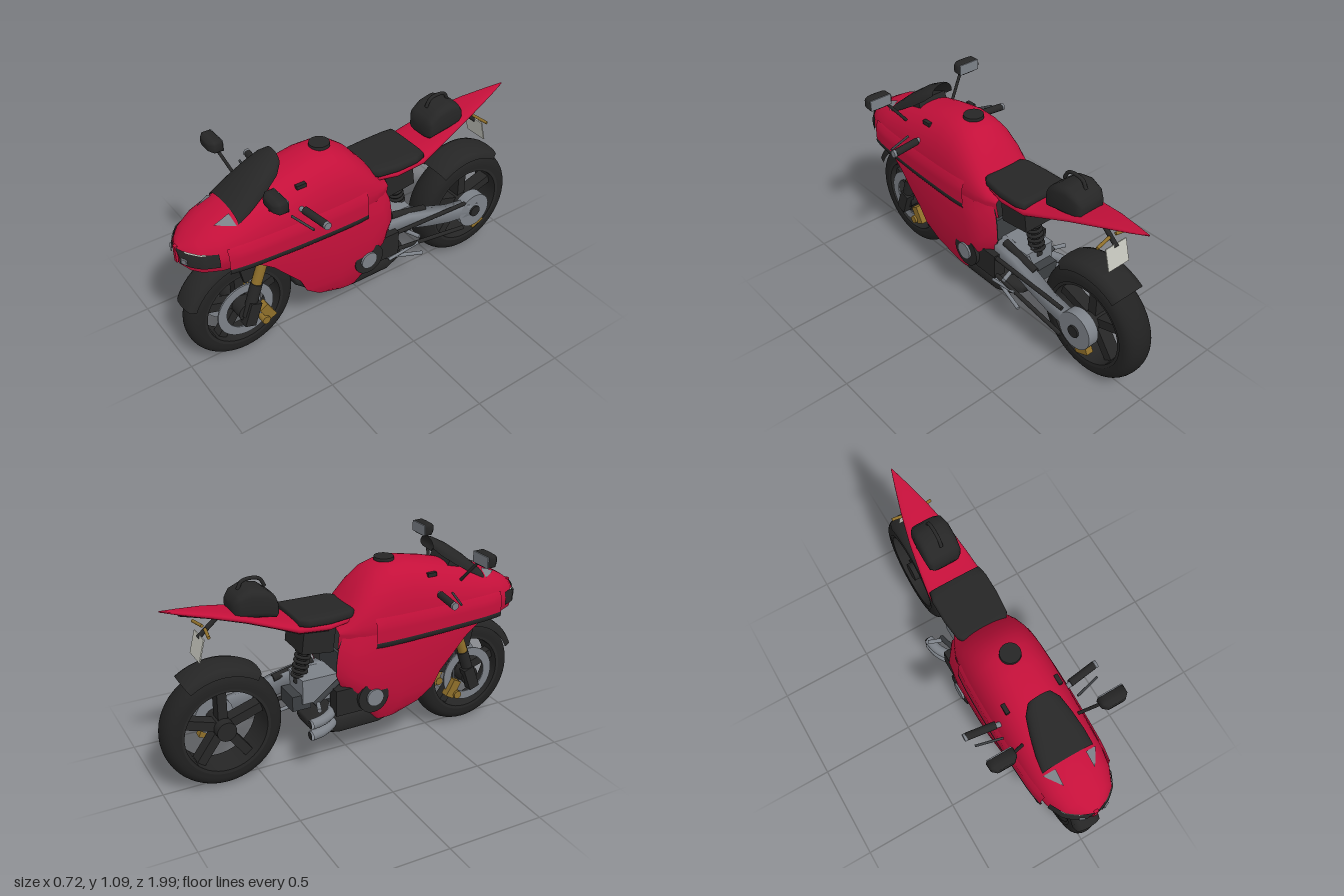
import * as THREE from 'three';

const mat = (name, color, side = THREE.DoubleSide) => new THREE.MeshStandardMaterial({ name, color, side });
const V = (x, y, z) => new THREE.Vector3(x, y, z);

export function createModel() {
  const root = new THREE.Group();
  root.name = 'sportMotorcycle';
  const red = mat('red paint', 0xc4103a), black = mat('black plastic', 0x262626), rubber = mat('tyre rubber', 0x212121);
  const grey = mat('grey metal', 0x7c8188), gold = mat('gold metal', 0x8f6f2a), pale = mat('pale plate', 0xc6c7be);
  const dark = mat('dark metal', 0x3c3f42);

  const add = (name, geo, m, x = 0, y = 0, z = 0, rx = 0, ry = 0, rz = 0) => {
    const o = new THREE.Mesh(geo, m);
    o.name = name; o.position.set(x, y, z); o.rotation.set(rx, ry, rz);
    root.add(o);
    return o;
  };
  const box = (name, m, w, h, d, x, y, z, rx = 0, ry = 0, rz = 0) => add(name, new THREE.BoxGeometry(w, h, d), m, x, y, z, rx, ry, rz);
  const disc = (name, m, r, w, x, y, z, n = 28) => add(name, new THREE.CylinderGeometry(r, r, w, n), m, x, y, z, 0, 0, Math.PI / 2);
  const rod = (name, m, a, b, r, r2 = r) => {
    const o = add(name, new THREE.CylinderGeometry(r2, r, a.distanceTo(b), 14), m);
    o.position.copy(a).lerp(b, 0.5);
    o.quaternion.setFromUnitVectors(V(0, 1, 0), b.clone().sub(a).normalize());
    return o;
  };
  const tube = (name, m, pts, r) => add(name, new THREE.TubeGeometry(new THREE.CatmullRomCurve3(pts), 24, r, 10), m);

  // Skin through a list of equal-length rows of points
  const loft = (name, rows, m, closed = false) => {
    const n = rows[0].length, pos = [], idx = [];
    rows.forEach(r => r.forEach(p => pos.push(p.x, p.y, p.z)));
    for (let i = 0; i < rows.length - 1; i++) for (let j = 0; j < (closed ? n : n - 1); j++) {
      const a = i * n + j, b = i * n + (j + 1) % n;
      idx.push(a, b, a + n, b, b + n, a + n);
    }
    const g = new THREE.BufferGeometry();
    g.setAttribute('position', new THREE.Float32BufferAttribute(pos, 3));
    g.setIndex(idx);
    g.computeVertexNormals();
    return add(name, g, m);
  };
  // Closed rounded hull from [z, halfWidth, bottom, top] stations
  const hull = (name, m, st, e = 0.6) => {
    const pw = v => Math.sign(v) * Math.abs(v) ** e;
    const ring = (z, w, b, t, k) => Array.from({ length: 24 }, (_, i) => {
      const a = i / 24 * Math.PI * 2;
      return V(w * k * pw(Math.cos(a)), (b + t) / 2 + (t - b) / 2 * k * pw(Math.sin(a)), z);
    });
    const rows = st.map(s => ring(...s, 1));
    loft(name, [ring(...st[0], 0.001), ...rows, ring(...st[st.length - 1], 0.001)], m, true);
  };
  const ramp = (tab, v, c) => {
    let i = 0;
    while (i < tab.length - 2 && (tab[i + 1][0] - v) * (tab[1][0] - tab[0][0]) < 0) i++;
    const f = THREE.MathUtils.clamp((v - tab[i][0]) / (tab[i + 1][0] - tab[i][0]), 0, 1);
    return tab[i][c] + (tab[i + 1][c] - tab[i][c]) * f;
  };

  // Nose and tank shell: [z, halfWidth, bottom, top]
  const S = [[0.99, 0.025, 0.69, 0.765], [0.96, 0.09, 0.672, 0.79], [0.92, 0.135, 0.665, 0.82], [0.84, 0.172, 0.66, 0.868],
    [0.74, 0.188, 0.655, 0.905], [0.6, 0.194, 0.65, 0.945], [0.45, 0.198, 0.64, 0.985], [0.3, 0.198, 0.63, 1.015],
    [0.2, 0.197, 0.62, 1.012], [0.13, 0.194, 0.62, 0.99], [0.06, 0.187, 0.62, 0.935], [0, 0.175, 0.62, 0.865],
    [-0.05, 0.155, 0.62, 0.79], [-0.1, 0.125, 0.62, 0.74]];
  const MID = 0.71, E = 2.4;
  const arc = q => Math.max(0, 1 - Math.min(1, q) ** E) ** (1 / E);
  const shellX = (y, z) => ramp(S, z, 1) * (y < MID ? 1 : arc((y - MID) / (ramp(S, z, 3) - MID)));
  const shellY = (x, z) => MID + (ramp(S, z, 3) - MID) * arc(Math.abs(x) / ramp(S, z, 1));
  loft('upperFairingAndTank', S.map(([z, w, b, t]) => {
    const r = [V(w * 0.88, b, z)];
    for (let i = 0; i <= 24; i++) {
      const a = i / 24 * Math.PI, c = Math.cos(a);
      r.push(V(w * Math.sign(c) * Math.abs(c) ** (2 / E), MID + (t - MID) * Math.sin(a) ** (2 / E), z));
    }
    r.push(V(-w * 0.88, b, z));
    return r;
  }), red);
  loft('fairingFloor', S.map(([z, w, b]) => [V(w * 0.88, b + 0.004, z), V(-w * 0.88, b + 0.004, z)]), black);

  // Lower side fairings: [y, frontZ, rearZ, halfWidth]
  const P = [[0.7, 0.78, -0.08, 0.192], [0.64, 0.68, -0.105, 0.199], [0.58, 0.6, -0.115, 0.202], [0.5, 0.53, -0.12, 0.202],
    [0.42, 0.46, -0.09, 0.198], [0.33, 0.42, 0, 0.187], [0.26, 0.34, 0.04, 0.172], [0.205, 0.22, 0.09, 0.15]];
  const bulge = [[0, 0.93], [0.2, 0.98], [0.45, 1], [0.75, 1], [0.9, 0.93], [1, 0.68]];
  const alongZ = (a, b, n) => Array.from({ length: n + 1 }, (_, i) => a + (b - a) * i / n);
  for (const s of [1, -1]) {
    const side = k => P.map(([y, f, r, w]) => bulge.map(([u, q]) => V(s * w * q * k, y, f + (r - f) * u)));
    loft('lowerFairing', side(1), red);
    loft('lowerFairingLining', side(0.95), black);
    // Raised upper side panel with its dark lip
    const zs = alongZ(0.82, 0.07, 14), low = z => 0.645 + 0.02 * (z - 0.07) / 0.75;
    loft('sidePanel', zs.map(z => [0, 0.25, 0.5, 0.75, 1].map(f => {
      const y = low(z) + (0.785 - low(z)) * f;
      return V(s * (Math.max(shellX(y, z), 0.17) + (f < 1 ? 0.012 : 0.001)), y, z);
    })), red);
    loft('sidePanelLip', zs.map(z => [[0.012, 0.012], [0.015, 0.004], [0.009, -0.015], [0, -0.018]]
      .map(([o, dy]) => V(s * (shellX(0.7, z) + o), low(z) + dy, z))), black);
    // Headlight, brow and marker on the nose
    const lamp = (name, m, y0, y1, z0, z1, o) => loft(name, alongZ(z0, z1, 12).map(z => [0, 0.5, 1].map(f => {
      const y = y0 + (y1 - y0) * f;
      return V(s * (shellX(y, z) + o * 0.6), y, z + o);
    })), m);
    lamp('headlight', black, 0.7, 0.77, 0.985, 0.85, 0.006);
    lamp('headlightBrow', pale, 0.768, 0.774, 0.965, 0.9, 0.008);
    box('headlightLens', grey, 0.028, 0.026, 0.008, s * 0.065, 0.722, 0.982, 0, s * 0.42);
    const mk = [[0.14, 0.745], [0.08, 0.75], [0.082, 0.83]].map(([x, z]) => V(s * x, shellY(x, z) + 0.008, z));
    loft('noseMarker', [[mk[0], mk[1]], [mk[2], mk[2]]], grey);
    // Mirrors
    hull('mirrorHousing', black, [[0.6, 0.068, -0.034, 0.034], [0.64, 0.066, -0.034, 0.036], [0.66, 0.045, -0.022, 0.024]], 0.5);
    root.children[root.children.length - 1].position.set(s * 0.283, 1.03, 0);
    box('mirrorGlass', grey, 0.12, 0.056, 0.006, s * 0.283, 1.03, 0.597);
    rod('mirrorStalk', black, V(s * 0.15, 0.885, 0.58), V(s * 0.245, 1.01, 0.62), 0.008);
    // Handlebars
    rod('handlebar', grey, V(s * 0.16, 0.845, 0.44), V(s * 0.24, 0.847, 0.425), 0.013);
    rod('handGrip', black, V(s * 0.2, 0.847, 0.43), V(s * 0.345, 0.847, 0.41), 0.019);
    rod('barEnd', grey, V(s * 0.345, 0.847, 0.41), V(s * 0.358, 0.847, 0.41), 0.019);
    rod('lever', dark, V(s * 0.2, 0.845, 0.5), V(s * 0.33, 0.835, 0.465), 0.006);
    box('fairingClip', black, 0.02, 0.02, 0.05, s * 0.14, 0.94, 0.41);
    // Front fork, discs and calipers
    rod('forkTube', gold, V(s * 0.1, 0.42, 0.665), V(s * 0.1, 0.7, 0.56), 0.026);
    rod('forkLower', black, V(s * 0.1, 0.27, 0.715), V(s * 0.1, 0.45, 0.652), 0.03);
    box('forkFoot', black, 0.05, 0.13, 0.06, s * 0.11, 0.29, 0.7, -0.35);
    rod('brakeLine', grey, V(s * 0.067, 0.22, 0.63), V(s * 0.067, 0.48, 0.62), 0.005);
    const ring = new THREE.Shape().absarc(0, 0, 0.152, 0, Math.PI * 2);
    ring.holes.push(new THREE.Path().absarc(0, 0, 0.105, 0, Math.PI * 2));
    add('brakeDisc', new THREE.ExtrudeGeometry(ring, { depth: 0.008, bevelEnabled: false, curveSegments: 32 }), grey, s * 0.074 - 0.004, 0.292, 0.71, 0, Math.PI / 2);
    box('brakeCaliper', gold, 0.045, 0.1, 0.05, s * 0.085, 0.235, 0.605, 0.5);
    disc('caliperPiston', gold, 0.022, 0.06, s * 0.09, 0.2, 0.625, 14);
    // Engine covers and foot rests
    disc('engineCover', black, 0.085, 0.08, s * 0.155, 0.365, 0.06);
    disc('engineCap', grey, 0.046, 0.012, s * 0.2, 0.365, 0.065);
    box('engineCase', black, 0.07, 0.14, 0.2, s * 0.14, 0.365, -0.04);
    rod('footRest', grey, V(s * 0.13, 0.375, -0.22), V(s * 0.21, 0.375, -0.25), 0.011);
    rod('footRestBracket', dark, V(s * 0.12, 0.46, -0.1), V(s * 0.135, 0.37, -0.24), 0.013);
    rod('turnSignal', gold, V(s * 0.02, 0.835, -0.735), V(s * 0.11, 0.83, -0.75), 0.008);
  }
  box('nosePillar', red, 0.022, 0.09, 0.014, 0, 0.73, 0.988);

  // Windscreen, fuel cap and dash
  loft('windscreen', [[0.735, 0.135, 0.86, 0.91], [0.66, 0.128, 0.9, 0.975], [0.57, 0.11, 0.955, 1.04], [0.5, 0.09, 1.005, 1.078], [0.465, 0.06, 1.04, 1.088]]
    .map(([z, w, lo, hi]) => alongZ(0, Math.PI, 14).map(a => V(w * Math.cos(a), lo + (hi - lo) * Math.sin(a) ** 0.85, z))), black);
  box('dash', black, 0.17, 0.06, 0.12, 0, 0.93, 0.6, 0.4);
  add('fuelCap', new THREE.CylinderGeometry(0.05, 0.052, 0.016, 28), black, 0, 1.018, 0.215);

  // Wheels and fenders
  const wheel = (name, R, ri, w, z, hubW) => {
    const pts = alongZ(0, Math.PI, 18).map(a => new THREE.Vector2(ri + 0.015 + (R - ri - 0.015) * Math.sin(a) ** 0.7, -w * Math.cos(a)));
    add(name + 'Tyre', new THREE.LatheGeometry(pts, 56), rubber, 0, R, z, 0, 0, Math.PI / 2);
    add(name + 'Rim', new THREE.CylinderGeometry(ri, ri, w * 1.9, 48, 1, true), black, 0, R, z, 0, 0, Math.PI / 2);
    for (const q of [1, -1]) add(name + 'RimEdge', new THREE.RingGeometry(ri, ri + 0.022, 48), black, q * w * 0.95, R, z, 0, q * Math.PI / 2);
    disc(name + 'Hub', black, 0.05, hubW, 0, R, z);
    for (let k = 0; k < 5; k++) {
      const a = k / 5 * Math.PI * 2, m = ri / 2 + 0.01;
      box(name + 'Spoke', black, w * 0.8, ri, 0.048, 0, R + Math.cos(a) * m, z + Math.sin(a) * m, a);
    }
  };
  const fender = (name, R, w, y, z, a0, a1) => loft(name, alongZ(a0, a1, 24).map(a =>
    [[-1, -0.045], [-0.92, -0.01], [-0.6, 0], [0, 0.004], [0.6, 0], [0.92, -0.01], [1, -0.045]]
      .map(([x, d]) => V(x * w, y + (R + d) * Math.sin(a), z + (R + d) * Math.cos(a)))), black);
  wheel('front', 0.29, 0.2, 0.066, 0.71, 0.2);
  wheel('rear', 0.308, 0.212, 0.086, -0.682, 0.17);
  fender('frontFender', 0.316, 0.07, 0.29, 0.71, 0.4, 2.75);
  fender('rearFender', 0.335, 0.092, 0.312, -0.682, 0.95, 2.18);
  for (const s of [1, -1]) box('fenderBracket', black, 0.02, 0.12, 0.12, s * 0.072, 0.53, 0.66, 0.2);

  // Engine core, radiator, belly and exhaust
  box('radiator', black, 0.27, 0.34, 0.04, 0, 0.5, 0.34, -0.15);
  box('engineBlock', dark, 0.24, 0.32, 0.38, 0, 0.44, 0.1);
  box('gearbox', grey, 0.17, 0.13, 0.2, 0, 0.42, -0.18);
  box('gearboxRear', dark, 0.14, 0.08, 0.1, 0, 0.36, -0.28);
  hull('bellyPan', black, [[0.43, 0.1, 0.3, 0.36], [0.33, 0.14, 0.225, 0.33], [0.2, 0.145, 0.185, 0.3], [0.12, 0.145, 0.16, 0.29],
    [-0.1, 0.14, 0.155, 0.28], [-0.18, 0.12, 0.17, 0.27], [-0.24, 0.08, 0.2, 0.25]]);
  for (const y of [0.235, 0.297]) {
    tube('exhaustPipe', grey, [V(-0.06, y, -0.1), V(-0.13, y, -0.15), V(-0.175, y, -0.22), V(-0.19, y, -0.29)], 0.026);
    add('exhaustMouth', new THREE.CircleGeometry(0.021, 18), black, -0.19, y, -0.294, 0, Math.PI);
  }
  rod('sideStand', grey, V(0.13, 0.27, -0.06), V(0.165, 0.205, -0.31), 0.01);
  rod('shiftLever', grey, V(0.15, 0.25, -0.1), V(0.165, 0.29, -0.28), 0.008);

  // Single-sided swingarm, chain and shock
  loft('swingarm', [[-0.1, 0.06, 0.38, 0.49, 0.14], [-0.25, 0.06, 0.375, 0.48, 0.145], [-0.36, 0.095, 0.34, 0.45, 0.15], [-0.5, 0.105, 0.3, 0.405, 0.15], [-0.7, 0.105, 0.27, 0.37, 0.15]]
    .map(([z, x0, y0, y1, x1]) => [V(x0, y0, z), V(x1, y0 + 0.012, z), V(x1, y1 - 0.012, z), V(x0, y1, z)]), grey, true);
  disc('swingarmHub', grey, 0.1, 0.06, 0.12, 0.312, -0.682);
  disc('axleNut', black, 0.032, 0.02, 0.15, 0.312, -0.682);
  box('rearCaliper', gold, 0.04, 0.05, 0.08, 0.12, 0.215, -0.72, 0.4);
  for (const [a, b] of [[0.42, 0.4], [0.32, 0.235]]) rod('chain', black, V(0.158, a, -0.06), V(0.155, b, -0.6), 0.011);
  rod('swingarmBrace', black, V(0.1, 0.49, -0.14), V(0.1, 0.44, -0.36), 0.02);
  const s0 = V(0, 0.68, -0.215), s1 = V(0, 0.44, -0.27);
  rod('shock', black, s0, s1, 0.022);
  for (let i = 0; i < 8; i++) {
    const p = s0.clone().lerp(s1, 0.1 + i * 0.105);
    add('shockCoil', new THREE.TorusGeometry(0.034, 0.009, 8, 20), black, p.x, p.y, p.z, Math.PI / 2 + 0.22);
  }
  box('subframe', black, 0.2, 0.13, 0.17, 0, 0.69, -0.195, 0.12);

  // Seat, tail, bag and plate
  hull('seat', black, [[0.0, 0.11, 0.79, 0.83], [-0.04, 0.138, 0.785, 0.835], [-0.15, 0.15, 0.78, 0.832], [-0.26, 0.15, 0.785, 0.834], [-0.31, 0.14, 0.795, 0.838]], 0.45);
  const T = [[-0.03, 0.12, 0.755, 0.795], [-0.15, 0.142, 0.74, 0.795], [-0.31, 0.145, 0.755, 0.81], [-0.42, 0.13, 0.8, 0.842], [-0.56, 0.107, 0.85, 0.89], [-0.72, 0.068, 0.893, 0.925], [-0.85, 0.03, 0.925, 0.945], [-0.935, 0.003, 0.95, 0.956]];
  hull('tail', red, T, 0.7);
  loft('tailUnderside', T.slice(1, 7).map(([z, w, b]) => [V(w * 0.85, b + 0.004, z), V(0, b - 0.012, z), V(-w * 0.85, b + 0.004, z)]), black);
  hull('tailBag', black, [[-0.385, 0.07, 0.85, 0.92], [-0.4, 0.088, 0.84, 0.955], [-0.45, 0.092, 0.85, 0.995], [-0.52, 0.092, 0.86, 1.01], [-0.58, 0.085, 0.87, 0.985], [-0.605, 0.07, 0.88, 0.95]], 0.5);
  tube('bagHandle', black, [V(0, 0.985, -0.425), V(0, 1.025, -0.45), V(0, 1.035, -0.5), V(0, 1.025, -0.54), V(0, 0.99, -0.56)], 0.009);
  rod('plateBracket', black, V(0, 0.88, -0.66), V(0, 0.79, -0.765), 0.012);
  box('plate', pale, 0.13, 0.115, 0.006, 0, 0.748, -0.772, 0.25);
  return root;
}
